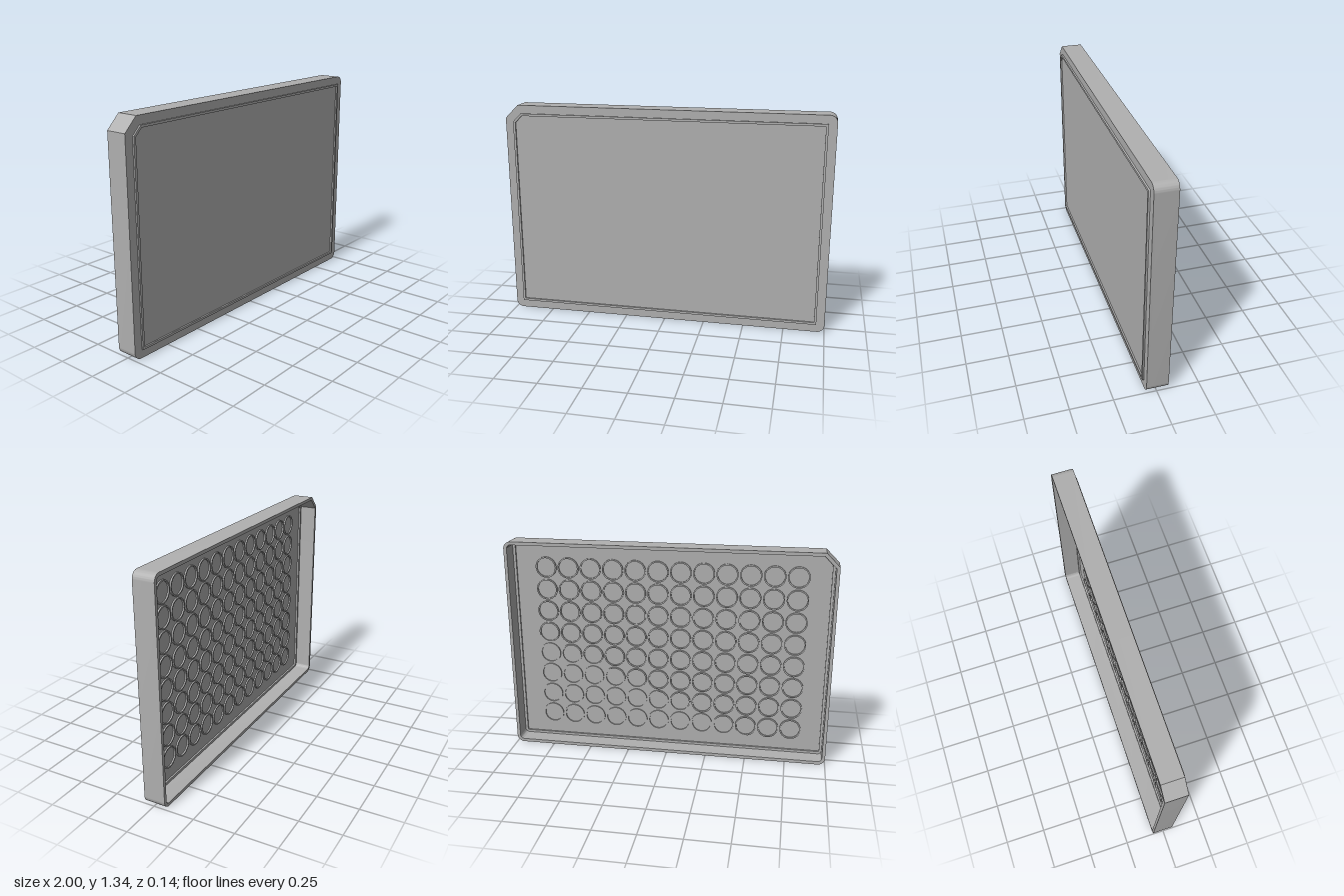
import * as THREE from 'three';
import { toCreasedNormals } from 'three/addons/utils/BufferGeometryUtils.js';

const W = 1, H = 0.669; // half width and half height of the lid
const ROWS = 8, COLS = 12, PITCH = 0.1409;

// Rounded rectangle with one cut corner (upper -x), shrunk by an inset
function outline(inset, PathType = THREE.Shape) {
  const w = W - inset, h = H - inset;
  const r = Math.max(0.045 - inset, 0.004);
  const c = 0.08 - inset * 0.586;
  const p = new PathType();
  p.moveTo(-w + r, -h);
  p.lineTo(w - r, -h);
  p.absarc(w - r, -h + r, r, -Math.PI / 2, 0, false);
  p.lineTo(w, h - r);
  p.absarc(w - r, h - r, r, 0, Math.PI / 2, false);
  p.lineTo(-w + c, h);
  p.lineTo(-w, h - c);
  p.lineTo(-w, -h + r);
  p.absarc(-w + r, -h + r, r, Math.PI, Math.PI * 1.5, false);
  return p;
}

// Extrudes a shape from z0 to z1
function slab(shape, z0, z1, segments = 10) {
  const g = new THREE.ExtrudeGeometry(shape, { depth: z1 - z0, bevelEnabled: false, curveSegments: segments });
  g.translate(0, 0, z0);
  return toCreasedNormals(g, 0.6);
}

// Frame between two insets
function frame(outer, inner, z0, z1) {
  const s = outline(outer);
  s.holes.push(outline(inner, THREE.Path));
  return slab(s, z0, z1);
}

export function createModel() {
  const model = new THREE.Group();
  model.name = 'wellPlateLid';
  const plastic = new THREE.MeshStandardMaterial({ color: 0xb0b0b0 });
  plastic.name = 'grey plastic';

  const add = (name, geometry, parent = model) => {
    const m = new THREE.Mesh(geometry, plastic);
    m.name = name;
    parent.add(m);
    return m;
  };

  // Flat panel, side walls, inner ledge and raised stacking rim
  add('panel', slab(outline(0), 0.045, 0.06));
  add('skirt', frame(0, 0.02, -0.07, 0.045));
  add('innerLedge', frame(0.02, 0.036, 0.034, 0.045));
  add('stackingRim', frame(0.05, 0.064, 0.06, 0.07));

  // Grid of shallow rings on the inside, one for each well
  const ring = new THREE.Shape().absarc(0, 0, 0.066, 0, Math.PI * 2, false);
  ring.holes.push(new THREE.Path().absarc(0, 0, 0.058, 0, Math.PI * 2, true));
  const ringGeometry = slab(ring, 0.036, 0.045, 16);
  const rings = new THREE.Group();
  rings.name = 'wellRings';
  model.add(rings);
  for (let row = 0; row < ROWS; row++) {
    for (let col = 0; col < COLS; col++) {
      add('wellRing', ringGeometry, rings).position.set(
        (col - (COLS - 1) / 2) * PITCH, (row - (ROWS - 1) / 2) * PITCH, 0);
    }
  }

  // Stand the lid on the ground
  for (const part of model.children) part.position.y = H;
  return model;
}
